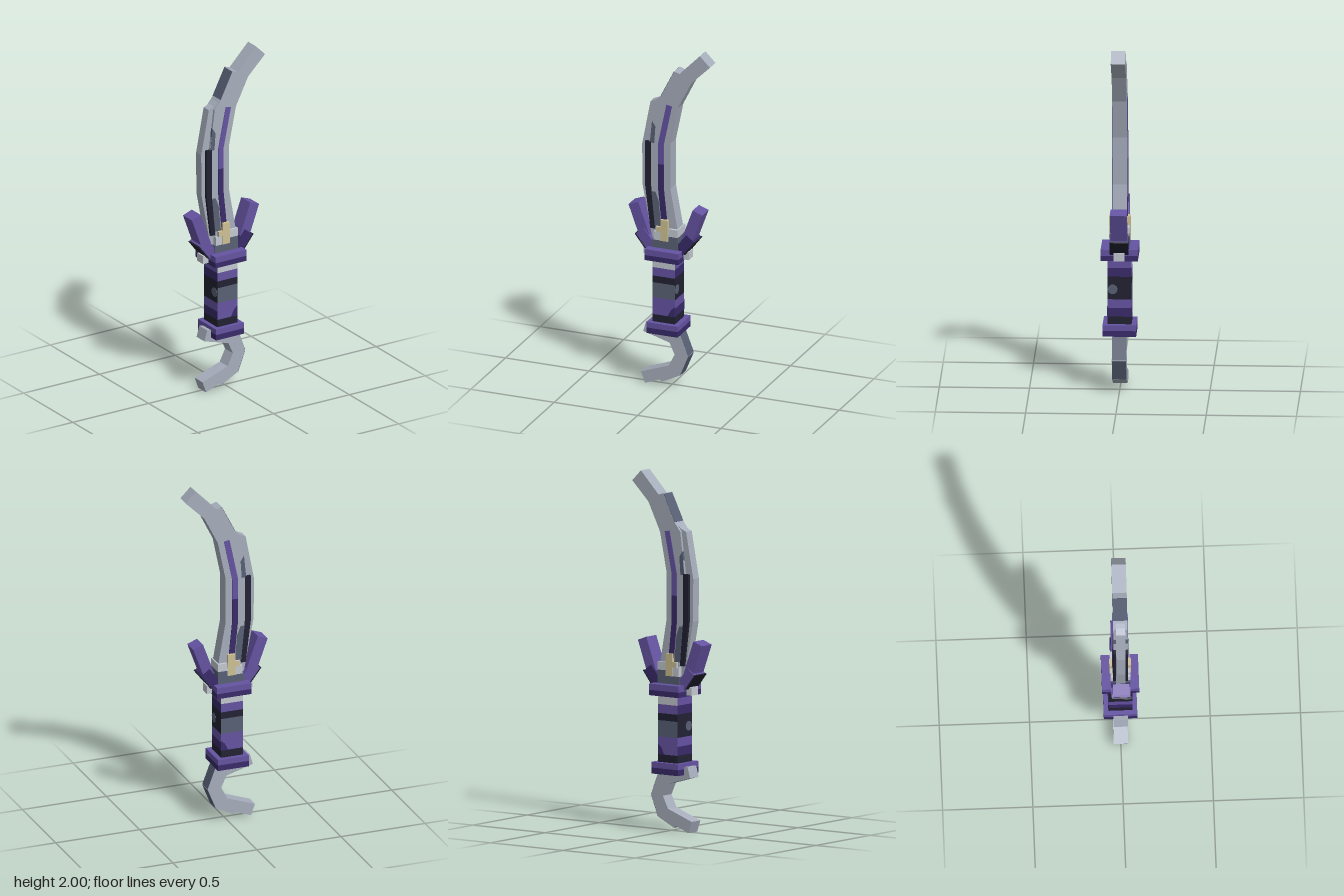
import * as THREE from 'three';

const mat = (name, color) => new THREE.MeshStandardMaterial({ name, color });

export function createModel() {
  const steel = mat('steel', 0xa6adbb);
  const silver = mat('pale silver', 0xc2c8d0);
  const slate = mat('slate', 0x586074);
  const black = mat('ink black', 0x212132);
  const purple = mat('purple', 0x6553a2);
  const violet = mat('dark violet', 0x382a69);
  const gold = mat('pale gold', 0xcdc092);

  const model = new THREE.Group();
  model.name = 'curvedSword';

  const add = (name, geometry, material, parent = model) => {
    const mesh = new THREE.Mesh(geometry, material);
    mesh.name = name;
    parent.add(mesh);
    return mesh;
  };
  // box given by its extents in x and y and its half depth
  const box = (name, x0, x1, y0, y1, hz, material) => {
    const m = add(name, new THREE.BoxGeometry(x1 - x0, y1 - y0, hz * 2), material);
    m.position.set((x0 + x1) / 2, (y0 + y1) / 2, 0);
    return m;
  };
  // outline extruded symmetrically about z = 0
  const slab = (name, pts, hz, material) => {
    const shape = new THREE.Shape(pts.map(p => new THREE.Vector2(p[0], p[1])));
    const g = new THREE.ExtrudeGeometry(shape, { depth: hz * 2, bevelEnabled: false });
    g.translate(0, 0, -hz);
    return add(name, g, material);
  };
  // matching thin plates on the front and back, starting at depth z
  const plates = (name, pts, z, material) => {
    for (const s of [1, -1]) {
      const m = slab(name + (s > 0 ? 'Front' : 'Back'), pts, 0.002, material);
      m.position.z = s * z;
    }
  };
  // bar between two points in the xy plane
  const bar = (name, a, b, width, hz, material) => {
    const dx = b[0] - a[0], dy = b[1] - a[1];
    const m = add(name, new THREE.BoxGeometry(width, Math.hypot(dx, dy), hz * 2), material);
    m.position.set((a[0] + b[0]) / 2, (a[1] + b[1]) / 2, 0);
    m.rotation.z = Math.atan2(-dx, dy);
    return m;
  };

  // Blade: thick body, thinner spine and the inlaid strip between them
  slab('bladeBody', [
    [-0.09, 0.86], [0.05, 0.86], [0.05, 0.93], [0.005, 1.18], [0.005, 1.45], [0.05, 1.67],
    [0.13, 1.83], [0.242, 1.94], [0.182, 2.0], [0.06, 1.875], [0.028, 1.885], [-0.05, 1.73],
    [-0.09, 1.68], [-0.12, 1.44], [-0.12, 1.18], [-0.085, 0.95],
  ], 0.04, steel);
  slab('bladeSpine', [
    [-0.11, 0.87], [-0.06, 0.87], [-0.11, 1.18], [-0.11, 1.44], [-0.045, 1.73],
    [-0.085, 1.695], [-0.12, 1.68], [-0.17, 1.42], [-0.168, 1.18],
  ], 0.026, steel);
  slab('bladeInlay', [
    [-0.115, 0.93], [-0.088, 0.93], [-0.11, 1.18], [-0.11, 1.445], [-0.146, 1.445], [-0.146, 1.18],
  ], 0.041, black);
  slab('bladeInlayTip', [[-0.118, 1.44], [-0.092, 1.44], [-0.085, 1.54], [-0.105, 1.57]], 0.041, slate);
  plates('bladeShade', [[-0.088, 0.95], [-0.05, 0.95], [-0.065, 1.1], [-0.085, 1.15], [-0.108, 1.15]], 0.04, slate);
  bar('bladeBackShade', [-0.05, 1.73], [0.027, 1.882], 0.005, 0.0395, slate);

  // Centre stripe, bright above and dark below
  plates('stripeUpper', [
    [-0.068, 1.32], [-0.034, 1.32], [-0.034, 1.44], [0.015, 1.675], [-0.018, 1.68], [-0.068, 1.44],
  ], 0.042, purple);
  plates('stripeLower', [
    [-0.045, 0.95], [-0.01, 0.95], [-0.034, 1.18], [-0.034, 1.32], [-0.068, 1.32], [-0.068, 1.18],
  ], 0.042, violet);

  // Collar with gold tab
  box('collarBase', -0.098, 0.055, 0.82, 0.87, 0.055, slate);
  box('collarStep', 0, 0.055, 0.87, 0.9, 0.055, slate);
  box('collarMiddle', -0.09, 0, 0.87, 0.92, 0.055, silver);
  box('collarRight', 0, 0.055, 0.9, 0.945, 0.055, silver);
  box('collarLeft', -0.075, -0.03, 0.92, 0.95, 0.053, silver);
  box('goldTab', -0.047, -0.003, 0.87, 0.995, 0.06, gold);
  box('goldTabStep', -0.072, -0.04, 0.92, 0.95, 0.057, gold);

  // Guard
  box('guardTop', -0.125, 0.08, 0.79, 0.825, 0.103, purple);
  box('guardBottom', -0.125, 0.08, 0.76, 0.79, 0.103, violet);
  box('guardCrossbar', -0.16, 0.112, 0.768, 0.815, 0.03, silver);

  // Prongs either side of the guard
  const mid = -0.0225;
  for (const s of [1, -1]) {
    const side = s > 0 ? 'Left' : 'Right';
    const at = (x, y) => [mid + s * x, y];
    bar('prong' + side, at(0.192, 1.064), at(0.125, 0.88), 0.062, 0.046, purple);
    bar('prongRoot' + side, at(0.15, 0.905), at(0.075, 0.81), 0.06, 0.052, s > 0 ? violet : purple);
    bar('prongUnderside' + side, at(0.179, 0.888), at(0.115, 0.805), 0.007, 0.0515, black);
  }

  // Grip: each band has front/back colour and side colour
  const bands = [
    [0.38, 0.43, black, black],
    [0.43, 0.48, purple, violet],
    [0.48, 0.53, purple, purple],
    [0.53, 0.62, slate, black],
    [0.62, 0.66, black, black],
    [0.66, 0.71, purple, violet],
    [0.71, 0.765, silver, purple],
  ];
  bands.forEach(([y0, y1, face, side], i) => {
    box('gripBand' + i, -0.09, 0.043, y0, y1, 0.067, [side, side, face, face, face, face]);
  });
  plates('gripPatch', [[0, 0.43], [0.043, 0.43], [0.043, 0.49], [0.02, 0.47]], 0.067, violet);
  for (const x of [-0.09, 0.043]) {
    const spot = add('gripSpot', new THREE.CylinderGeometry(0.028, 0.028, 0.004, 10), slate);
    spot.rotation.z = Math.PI / 2;
    spot.position.set(x, 0.587, 0.038);
  }

  // Pommel
  box('pommelTop', -0.115, 0.07, 0.355, 0.387, 0.093, purple);
  box('pommelBottom', -0.115, 0.07, 0.322, 0.355, 0.093, violet);

  // Hook below the pommel, with a dark outer edge
  slab('hook', [
    [-0.14, 0.37], [-0.158, 0.308], [0, 0.262], [0.03, 0.195], [-0.005, 0.125], [-0.17, 0.065],
    [-0.147, 0], [-0.06, 0.034], [-0.047, 0.022], [0.062, 0.075], [0.111, 0.195], [0.062, 0.325], [0.04, 0.345],
  ], 0.04, steel);
  bar('hookEdgeUpper', [0.062, 0.322], [0.11, 0.197], 0.004, 0.0395, slate);
  bar('hookEdgeLower', [0.11, 0.193], [0.063, 0.077], 0.004, 0.0395, slate);

  return model;
}
